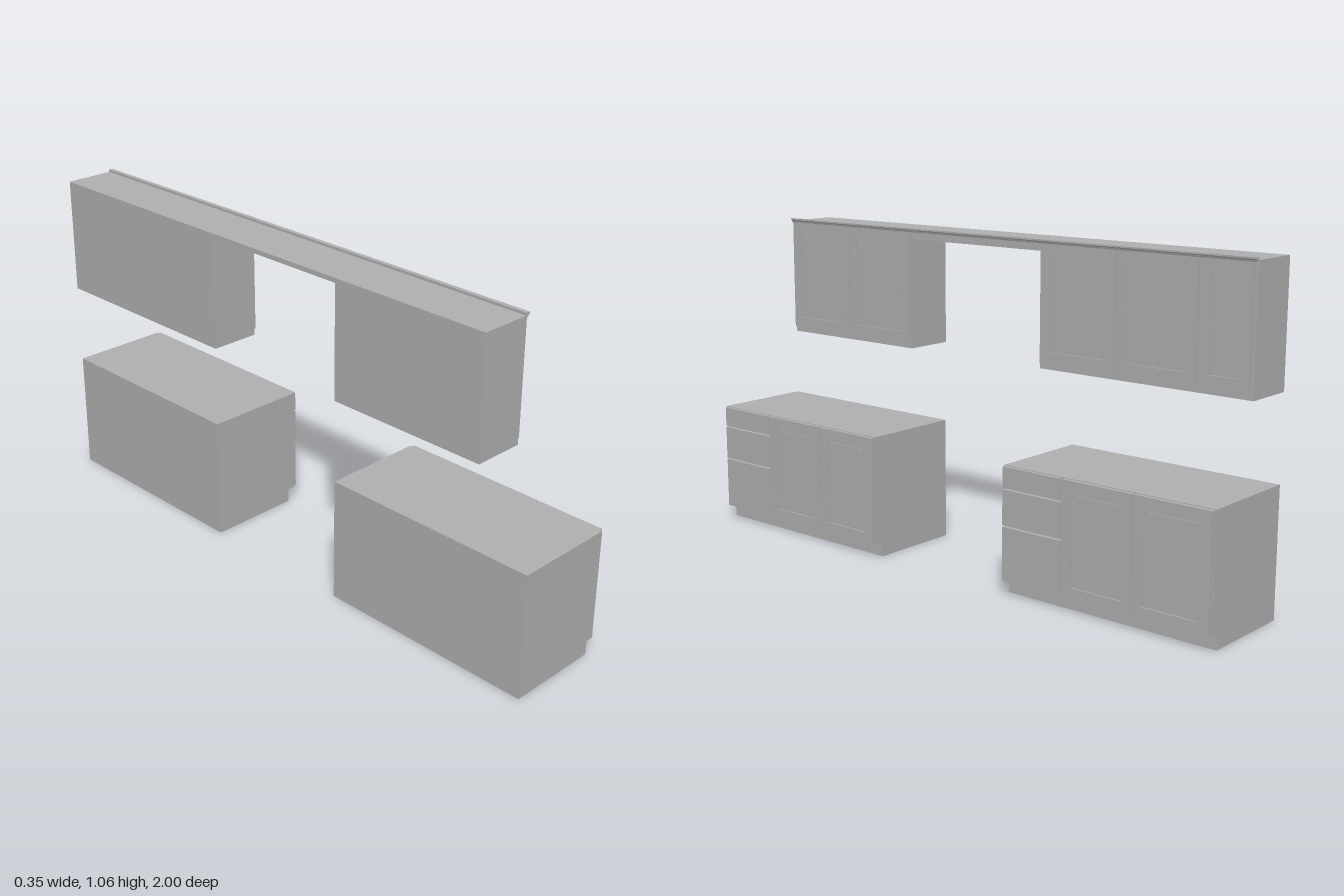
import * as THREE from 'three';

export function createModel() {
  const kitchen = new THREE.Group();
  kitchen.name = 'kitchenCabinets';
  const grey = new THREE.MeshStandardMaterial({ color: 0xb0b0b0 });
  grey.name = 'cabinet grey';

  const add = (parent, name, geometry) => {
    const mesh = new THREE.Mesh(geometry, grey);
    mesh.name = name;
    parent.add(mesh);
    return mesh;
  };
  const group = (name) => {
    const g = new THREE.Group();
    g.name = name;
    kitchen.add(g);
    return g;
  };
  // Box given by its limits on each axis
  const box = (parent, name, [x0, x1], [y0, y1], [z0, z1]) => {
    const g = new THREE.BoxGeometry(x1 - x0, y1 - y0, z1 - z0);
    g.translate((x0 + x1) / 2, (y0 + y1) / 2, (z0 + z1) / 2);
    return add(parent, name, g);
  };
  // Profile in x and y, swept along z
  const sweep = (parent, name, points, [z0, z1]) => {
    const shape = new THREE.Shape(points.map(([x, y]) => new THREE.Vector2(x, y)));
    const g = new THREE.ExtrudeGeometry(shape, { depth: z1 - z0, bevelEnabled: false });
    g.translate(0, 0, z0);
    return add(parent, name, g);
  };
  const rect = (Type, a, b, c, d) => new Type([
    new THREE.Vector2(a, c), new THREE.Vector2(b, c),
    new THREE.Vector2(b, d), new THREE.Vector2(a, d)]);

  // Framed door facing +x with a set-back centre panel
  const door = (parent, [x0, x1], [y0, y1], [z0, z1], margin = 0.035) => {
    const shape = rect(THREE.Shape, -z1, -z0, y0, y1);
    shape.holes.push(rect(THREE.Path, -z1 + margin, -z0 - margin, y0 + margin, y1 - margin));
    const frame = new THREE.ExtrudeGeometry(shape, { depth: x1 - x0, bevelEnabled: false });
    frame.rotateY(Math.PI / 2).translate(x0, 0, 0);
    add(parent, 'doorFrame', frame);
    const m = margin, back = x1 - 0.005;
    box(parent, 'doorPanel', [x0, back], [y0 + m, y1 - m], [z0 + m, z1 - m]);
    // Raised field leaves a narrow groove around the panel
    const r = m + 0.007;
    box(parent, 'doorField', [back, x1 - 0.002], [y0 + r, y1 - r], [z0 + r, z1 - r]);
  };

  // Base cabinets with toe kick, three drawers and two doors
  const baseFront = [0.162, 0.175];
  const baseCabinet = (name, z, drawerZ, doorZs) => {
    const g = group(name);
    sweep(g, 'baseBody', [[-0.175, 0], [0.135, 0], [0.135, 0.045],
      [0.162, 0.045], [0.162, 0.405], [-0.175, 0.405]], z);
    for (const y of [[0.048, 0.217], [0.222, 0.333], [0.338, 0.403]])
      box(g, 'drawerFront', baseFront, y, drawerZ);
    for (const d of doorZs) door(g, baseFront, [0.048, 0.403], d);
  };
  baseCabinet('frontBaseCabinet', [0.268, 1], [0.767, 0.99], [[0.518, 0.762], [0.272, 0.513]]);
  baseCabinet('rearBaseCabinet', [-1, -0.268], [-0.488, -0.272], [[-0.738, -0.493], [-0.996, -0.743]]);

  // Wall cabinets, recessed underneath behind a thin rim
  const wallFront = [-0.01, -0.002];
  const wallCabinet = (name, [z0, z1], doors) => {
    const g = group(name);
    box(g, 'wallBody', [-0.175, -0.01], [0.69, 1.055], [z0, z1]);
    box(g, 'frontRail', [-0.02, -0.01], [0.672, 0.69], [z0, z1]);
    box(g, 'backRail', [-0.175, -0.165], [0.672, 0.69], [z0, z1]);
    for (const z of [[z0, z0 + 0.01], [z1 - 0.01, z1]])
      box(g, 'sideRim', [-0.165, -0.02], [0.672, 0.69], z);
    for (const [d, margin] of doors) door(g, wallFront, [0.69, 1.05], d, margin);
  };
  wallCabinet('frontWallCabinet', [0.265, 0.815],
    [[[0.545, 0.811], 0.034], [[0.269, 0.54], 0.036]]);
  wallCabinet('rearWallCabinet', [-1, -0.265],
    [[[-0.54, -0.269], 0.036], [[-0.818, -0.545], 0.036], [[-0.988, -0.823], 0.038]]);

  // Bridge over the gap, and the crown along the whole run
  const top = group('topRun');
  box(top, 'bridgeBoard', [-0.175, -0.02], [1.04, 1.055], [-0.265, 0.265]);
  box(top, 'bridgeFascia', [-0.02, -0.004], [1.028, 1.055], [-0.265, 0.265]);
  sweep(top, 'crownMoulding', [[-0.01, 1.05], [-0.002, 1.05], [0.0, 1.056],
    [0.004, 1.058], [0.004, 1.063], [-0.01, 1.063]], [-1, 0.815]);

  return kitchen;
}
